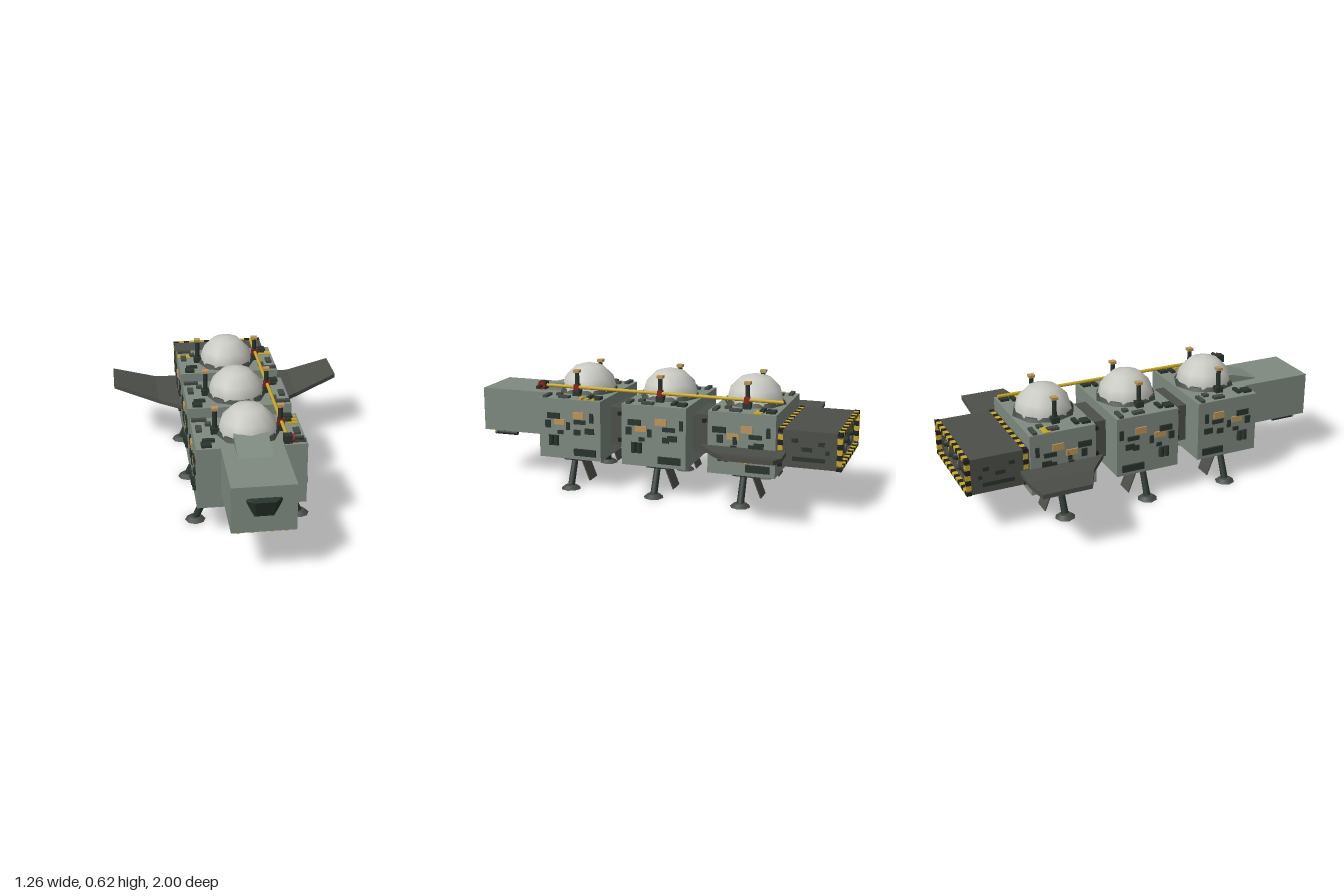
import * as THREE from 'three';
import { ConvexGeometry } from 'three/addons/geometries/ConvexGeometry.js';

const mat = (name, color, extra = {}) =>
  Object.assign(new THREE.MeshStandardMaterial({ color, ...extra }), { name });

export function createModel() {
  const hull = mat('hull grey green', 0x7f8a80);
  const grey = mat('dark warm grey', 0x4d4f49);
  const dark = mat('dark green', 0x2a342e);
  const collar = mat('collar grey', 0x434a44);
  const dome = mat('dome white', 0xc9c9c3);
  const tan = mat('tan', 0xbd9659);
  const yellow = mat('yellow', 0xc9a824);
  const black = mat('black', 0x1e1f1e);
  const red = mat('red', 0x8c2020);

  const model = new THREE.Group();
  model.name = 'transport';

  const add = (name, geo, m, x = 0, y = 0, z = 0, parent = model) => {
    const mesh = new THREE.Mesh(geo, m);
    mesh.name = name;
    mesh.position.set(x, y, z);
    parent.add(mesh);
    return mesh;
  };
  const box = (name, m, w, h, d, x, y, z, parent) =>
    add(name, new THREE.BoxGeometry(w, h, d), m, x, y, z, parent);
  // cylinder between two points
  const rod = (name, m, a, b, r0, r1, sides, parent) => {
    const A = new THREE.Vector3(...a), B = new THREE.Vector3(...b), dir = B.clone().sub(A);
    const mesh = add(name, new THREE.CylinderGeometry(r1, r0, dir.length(), sides), m, 0, 0, 0, parent);
    mesh.position.copy(A).add(B).multiplyScalar(0.5);
    mesh.quaternion.setFromUnitVectors(new THREE.Vector3(0, 1, 0), dir.normalize());
    return mesh;
  };
  const hullOf = (pts) => new ConvexGeometry(pts.map((p) => new THREE.Vector3(...p)));

  // side fittings: [z offset, y, length, height, material]
  const fittings = [
    [0.10, 0.385, 0.07, 0.03, dark], [0.055, 0.355, 0.06, 0.03, tan],
    [-0.07, 0.36, 0.065, 0.022, dark], [-0.04, 0.395, 0.06, 0.035, tan],
    [0.12, 0.34, 0.03, 0.04, dark], [-0.055, 0.305, 0.035, 0.028, dark],
    [-0.10, 0.315, 0.05, 0.03, dark], [0.05, 0.30, 0.03, 0.02, dark],
    [-0.135, 0.385, 0.02, 0.05, dark], [0.02, 0.335, 0.02, 0.04, dark],
  ];
  // roof fittings: [x, z offset, width, length]
  const roof = [
    [0.225, 0.14, 0.075, 0.022], [0.20, -0.09, 0.06, 0.022], [0.235, 0.04, 0.03, 0.06],
    [0.215, -0.135, 0.05, 0.045], [0.185, 0.09, 0.03, 0.03],
  ];

  // three hull modules with domes, masts and landing legs
  [0.405, -0.053, -0.508].forEach((zc, i) => {
    const g = new THREE.Group();
    g.name = `module${i + 1}`;
    g.position.z = zc;
    model.add(g);
    box('moduleBody', hull, 0.534, 0.315, 0.342, 0, 0.3175, 0, g);
    add('domeCollar', new THREE.CylinderGeometry(0.152, 0.163, 0.02, 8), collar, 0, 0.485, 0, g);
    add('dome', new THREE.SphereGeometry(0.15, 12, 3, 0, Math.PI * 2, 0, Math.PI / 2), dome, 0, 0.475, 0, g);

    for (const s of [-1, 1]) {
      // masts
      rod('mast', dark, [s * 0.16, 0.475, 0], [s * 0.16, 0.6, 0], 0.012, 0.012, 8, g);
      box('mastBase', dark, 0.04, 0.03, 0.04, s * 0.16, 0.49, 0, g);
      box('mastCap', tan, 0.032, 0.014, 0.032, s * 0.16, 0.604, 0, g);
      if (s > 0) box('railClamp', red, 0.034, 0.03, 0.024, 0.163, 0.52, 0, g);

      // roof plates
      roof.forEach(([x, z, w, d], k) =>
        box('roofPlate', k % 2 ? dark : collar, w, 0.014, d, s * x, 0.481, s * z, g));

      // side panels
      fittings.forEach(([z, y, len, h, m], k) => {
        const shift = ((k + i) % 3 - 1) * 0.012;
        box('sidePanel', m, 0.009, h, len, s * 0.27, y, z + shift, g);
      });
      box('sideVent', dark, 0.014, 0.036, 0.12, s * 0.271, 0.2, -0.085, g);
      for (const z of [0.075, 0.105])
        rod('sideTank', dark, [s * 0.268, 0.228, z], [s * 0.268, 0.282, z], 0.014, 0.014, 8, g);

      // landing leg, foot and open bay door
      box('legBracket', dark, 0.06, 0.02, 0.10, s * 0.2, 0.153, 0, g);
      rod('legStrut', dark, [s * 0.195, 0.16, 0], [s * 0.26, 0.015, 0], 0.017, 0.019, 8, g);
      rod('legBrace', dark, [s * 0.165, 0.16, 0.015], [s * 0.235, 0.07, 0], 0.008, 0.008, 6, g);
      add('foot', new THREE.CylinderGeometry(0.03, 0.052, 0.018, 8), collar, s * 0.263, 0.009, 0, g);
      const door = box('bayDoor', grey, 0.093, 0.125, 0.006, s * 0.197, 0.103, -0.075, g);
      door.rotation.x = 0.38;
    }
  });

  // yellow roof markings
  for (const z of [0.28, 0.315, 0.35]) box('roofMark', yellow, 0.045, 0.009, 0.016, 0.233, 0.479, z);
  for (const s of [-1, 1]) box('rearRoofMark', yellow, 0.07, 0.009, 0.04, s * 0.23, 0.476, -0.585);

  // connectors between modules
  for (const z of [0.177, -0.28]) {
    box('connector', grey, 0.26, 0.2, 0.13, 0, 0.32, z);
    for (const s of [-1, 1])
      for (const y of [0.25, 0.39]) box('connectorLatch', black, 0.03, 0.018, 0.018, s * 0.132, y, z);
  }

  // nose with canopy ramp and visor
  box('nose', hull, 0.3, 0.23, 0.4, 0, 0.36, 0.76);
  const ramp = [];
  for (const x of [-0.083, 0.083]) ramp.push([x, 0.47, 0.5], [x, 0.52, 0.5], [x, 0.52, 0.53], [x, 0.474, 0.69], [x, 0.47, 0.69]);
  add('noseRamp', hullOf(ramp), hull);
  const visor = [];
  for (const s of [-1, 1])
    visor.push([s * 0.08, 0.418, 0.955], [s * 0.088, 0.405, 0.955], [s * 0.047, 0.324, 0.955],
      [s * 0.047, 0.415, 1.0], [s * 0.042, 0.33, 0.968]);
  add('visor', hullOf(visor), dark);

  // guns under the nose
  for (const x of [-0.11, -0.045, 0.045, 0.11]) {
    rod('gunBarrel', dark, [x, 0.226, 0.785], [x, 0.226, 0.91], 0.011, 0.011, 8);
    box('gunMount', dark, 0.014, 0.025, 0.03, x, 0.238, 0.85);
    rod('gunTip', yellow, [x, 0.226, 0.91], [x, 0.226, 0.918], 0.012, 0.012, 8);
  }

  // long rail along the roof with its end unit
  rod('roofRail', yellow, [0.165, 0.52, 0.6], [0.165, 0.52, -0.69], 0.009, 0.009, 8);
  box('railEnd', dark, 0.04, 0.04, 0.04, 0.165, 0.52, 0.595);
  rod('railEndRing', red, [0.18, 0.52, 0.595], [0.195, 0.52, 0.595], 0.022, 0.022, 8);
  rod('railEndArm', dark, [0.19, 0.52, 0.595], [0.24, 0.52, 0.595], 0.01, 0.01, 8);

  // engine housing: four walls around a recessed back plate
  const yc = 0.318, zc = -0.84;
  for (const s of [-1, 1]) {
    box('engineWallHorizontal', grey, 0.518, 0.016, 0.316, 0, yc + s * 0.084, zc);
    box('engineWallVertical', grey, 0.016, 0.184, 0.316, s * 0.251, yc, zc);
    // small fittings on the housing sides
    [[-0.77, 0.36, 0.03], [-0.83, 0.32, 0.05], [-0.90, 0.35, 0.03], [-0.84, 0.27, 0.16], [-0.93, 0.31, 0.02]]
      .forEach(([z, y, len]) => box('housingPanel', dark, 0.008, 0.02, len, s * 0.26, y, z));
  }
  box('engineBackPlate', black, 0.5, 0.17, 0.02, 0, yc, -0.945);
  for (const x of [-0.163, 0, 0.163]) {
    add('engineRing', new THREE.TorusGeometry(0.062, 0.012, 6, 16), collar, x, yc, -0.965);
    for (let k = 0; k < 8; k++) {
      const a = (k / 8) * Math.PI * 2;
      const vane = box('engineVane', yellow, 0.026, 0.008, 0.008,
        x + Math.cos(a) * 0.04, yc + Math.sin(a) * 0.04, -0.96);
      vane.rotation.z = a;
    }
    rod('engineHub', dark, [x, yc, -0.95], [x, yc, -0.985], 0.026, 0.016, 10);
  }

  // hazard stripes around both ends of the housing
  for (const z of [-0.9875, -0.7]) {
    const n = 17, w = 0.522 / n, m = 7, h = 0.188 / m;
    for (const s of [-1, 1]) {
      for (let k = 0; k < n; k++)
        box('hazardStripe', k % 2 ? yellow : black, w, 0.019, 0.025, -0.261 + w * (k + 0.5), yc + s * 0.0845, z);
      for (let k = 1; k < m - 1; k++)
        box('hazardStripe', k % 2 ? yellow : black, 0.019, h, 0.025, s * 0.2515, yc - 0.094 + h * (k + 0.5), z);
    }
  }

  // cranked wings, each built from two convex panels
  const section = (s, [x, y, front, back]) => {
    const out = [];
    for (const dy of [-0.011, 0.011]) out.push([s * x, y + dy, front], [s * x, y + dy, back]);
    return out;
  };
  const stations = [[0.26, 0.291, -0.295, -0.73], [0.39, 0.291, -0.40, -0.737], [0.632, 0.347, -0.51, -0.752]];
  for (const s of [-1, 1]) {
    for (let k = 0; k < 2; k++)
      add(k ? 'wingTip' : 'wingRoot',
        hullOf([...section(s, stations[k]), ...section(s, stations[k + 1])]), grey);
    add('wingLight', new THREE.SphereGeometry(0.01, 8, 6), s > 0 ? yellow : red, s * 0.6, 0.327, -0.62);
  }

  return model;
}
